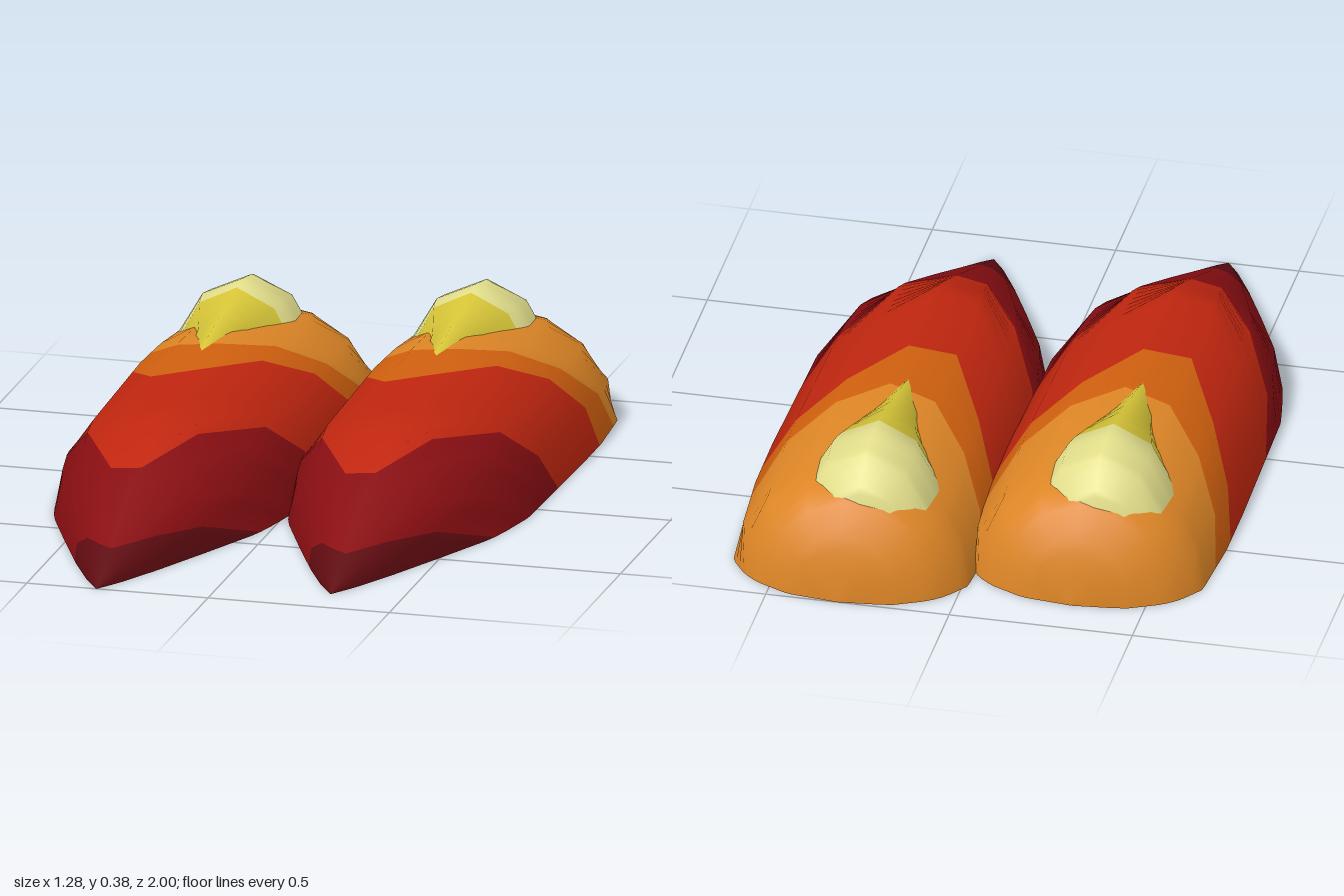
import * as THREE from 'three';

const mat = (name, color) => {
  const m = new THREE.MeshStandardMaterial({ color });
  m.name = name;
  return m;
};

// linear lookup of [z, halfWidth, height] in a profile
function section(profile, z) {
  let i = 1;
  while (i < profile.length - 1 && profile[i][0] < z) i++;
  const a = profile[i - 1], b = profile[i];
  const t = THREE.MathUtils.clamp((z - a[0]) / (b[0] - a[0]), 0, 1);
  return [a[1] + (b[1] - a[1]) * t, a[2] + (b[2] - a[2]) * t];
}

// half-elliptical drop lying along z, split into colour bands;
// borders[k][column] is the z where band k ends on that column
function dropGeometry(profile, segs, borders) {
  const first = profile[0][0], last = profile[profile.length - 1][0];
  const column = (v) => Array(segs + 1).fill(v);
  const edges = [column(first), ...borders, column(last)];
  const pos = [], index = [], steps = 16;
  const g = new THREE.BufferGeometry();
  for (let k = 0; k < edges.length - 1; k++) {
    for (let r = k ? 1 : 0; r <= steps; r++) {
      const t = k ? r / steps : (r / steps) ** 2; // finer rows at the round end
      for (let c = 0; c <= segs; c++) {
        const z = edges[k][c] + (edges[k + 1][c] - edges[k][c]) * t;
        const [w, h] = section(profile, z);
        const a = (c / segs) * Math.PI;
        pos.push(-Math.cos(a) * w, Math.sin(a) * h, z);
      }
    }
    const start = index.length, n = segs + 1;
    for (let r = k * steps; r < (k + 1) * steps; r++) {
      for (let c = 0; c < segs; c++) {
        const a = r * n + c, b = a + n;
        index.push(a, b, a + 1, b, b + 1, a + 1);
      }
    }
    g.addGroup(start, index.length - start, k);
  }
  g.setAttribute('position', new THREE.Float32BufferAttribute(pos, 3));
  g.setIndex(index);
  g.computeVertexNormals();
  return g;
}

// flat underside following the profile outline
function baseGeometry(profile) {
  const right = profile.map(([z, w]) => new THREE.Vector2(w, z));
  const left = profile.slice(1, -1).reverse().map(([z, w]) => new THREE.Vector2(-w, z));
  return new THREE.ShapeGeometry(new THREE.Shape([...right, ...left])).rotateX(Math.PI / 2);
}

export function createModel() {
  const amber = mat('amber', 0xde8626);
  const orange = mat('orange', 0xd0600f);
  const red = mat('red', 0xc0260f);
  const darkRed = mat('dark red', 0x880e12);
  const maroon = mat('maroon', 0x5e0b10);
  const cream = mat('cream', 0xe4e08c);
  const yellow = mat('yellow', 0xd8c638);

  // body: round at the back, pointed at the front
  const body = [
    [-0.88, 0.002, 0.002], [-0.865, 0.14, 0.13], [-0.82, 0.235, 0.22], [-0.785, 0.275, 0.265],
    [-0.72, 0.32, 0.285], [-0.5, 0.335, 0.305], [-0.3, 0.335, 0.315], [0.2, 0.325, 0.3],
    [0.33, 0.3, 0.295], [0.41, 0.28, 0.265], [0.62, 0.19, 0.172], [0.8, 0.11, 0.09],
    [0.93, 0.045, 0.033], [1, 0.001, 0.001],
  ];
  const bodyBorders = [
    [-0.6, -0.52, -0.4, -0.27, -0.24, -0.33, -0.44, -0.57, -0.66],
    [-0.45, -0.37, -0.22, 0, -0.02, -0.2, -0.33, -0.43, -0.48],
    [0, 0.14, 0.3, 0.54, 0.55, 0.38, 0.14, 0.02, -0.08],
    [0.77, 0.75, 0.78, 0.83, 0.85, 0.82, 0.75, 0.6, 0.39],
  ];

  // highlight: smaller drop rising out of the back of the body
  const crest = [
    [-0.82, 0.002, 0.002], [-0.785, 0.15, 0.275], [-0.71, 0.215, 0.365], [-0.6, 0.225, 0.383],
    [-0.53, 0.2, 0.372], [-0.4, 0.13, 0.349], [-0.24, 0.09, 0.32], [0.1, 0.05, 0.2], [0.3, 0.001, 0.002],
  ];

  const bodyGeo = dropGeometry(body, 8, bodyBorders);
  const baseGeo = baseGeometry(body);
  const crestGeo = dropGeometry(crest, 6, [Array(7).fill(-0.545)]);

  const model = new THREE.Group();
  model.name = 'pointedPair';
  // the left one sits slightly further back
  for (const [side, x, z] of [['right', -0.308, 0], ['left', 0.305, -0.12]]) {
    const drop = new THREE.Group();
    drop.name = side + 'Drop';
    const shell = new THREE.Mesh(bodyGeo, [amber, orange, red, darkRed, maroon]);
    shell.name = side + 'Body';
    const base = new THREE.Mesh(baseGeo, maroon);
    base.name = side + 'Underside';
    const top = new THREE.Mesh(crestGeo, [cream, yellow]);
    top.name = side + 'Highlight';
    top.position.set(-0.038, 0.001, 0);
    drop.add(shell, base, top);
    drop.position.set(x, 0, z);
    model.add(drop);
  }
  return model;
}
